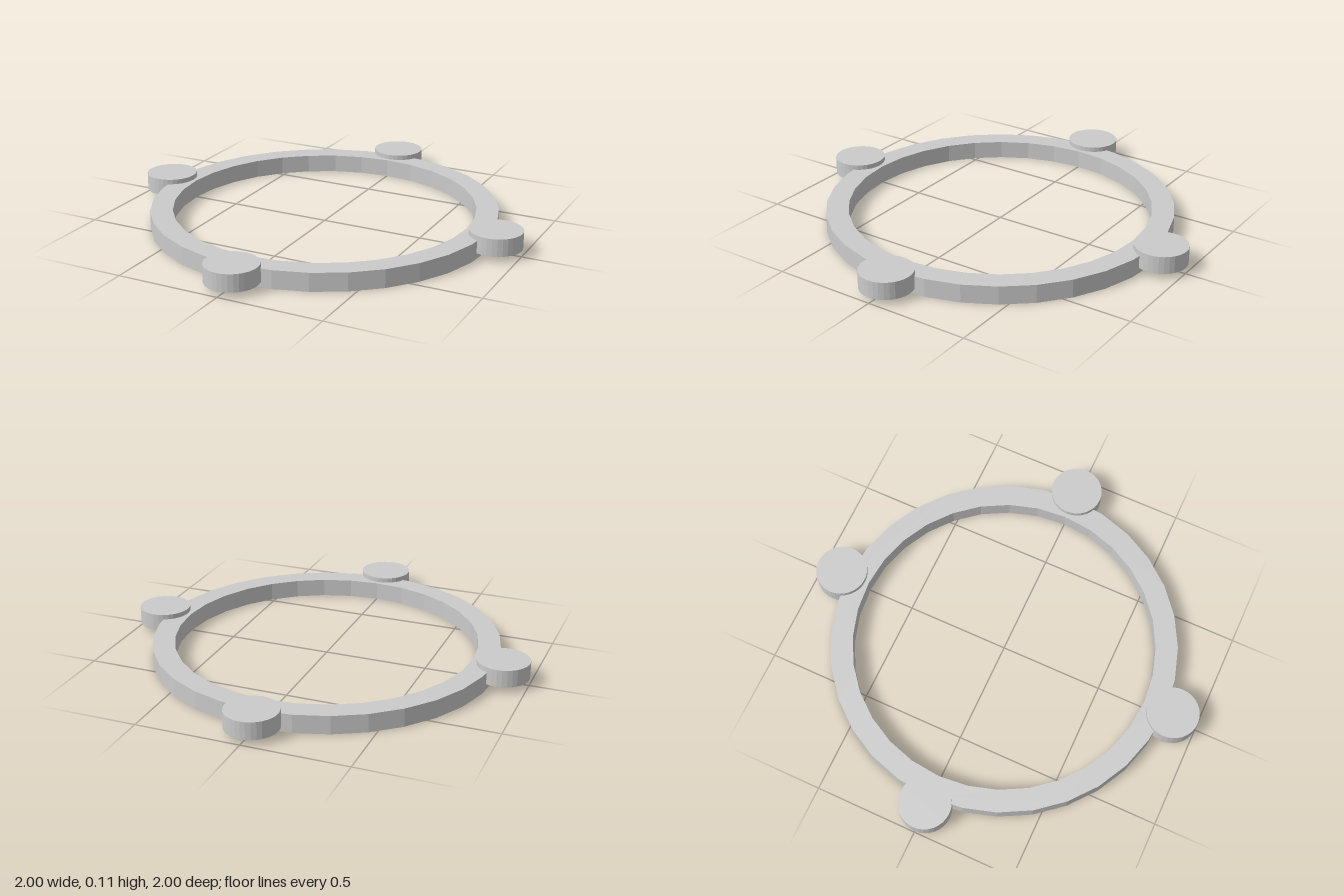
import * as THREE from 'three';

const RING = { outer: 0.837, inner: 0.73, height: 0.088, sides: 32 };
const LUG = { radius: 0.125, height: 0.084, base: 0.028, reach: 0.875, sides: 32 };

// Regular polygon outline with a corner on each axis
function polygon(radius, sides) {
  return Array.from({ length: sides }, (_, i) => {
    const a = (i / sides) * Math.PI * 2;
    return new THREE.Vector2(Math.cos(a) * radius, Math.sin(a) * radius);
  });
}

export function createModel() {
  const model = new THREE.Group();
  model.name = 'ringWithLugs';
  const material = new THREE.MeshStandardMaterial({ color: 0xcccccc, flatShading: true });

  // Flat faceted ring
  const shape = new THREE.Shape(polygon(RING.outer, RING.sides));
  shape.holes.push(new THREE.Path(polygon(RING.inner, RING.sides)));
  const ringGeometry = new THREE.ExtrudeGeometry(shape, { depth: RING.height, bevelEnabled: false });
  ringGeometry.rotateX(-Math.PI / 2);
  const ring = new THREE.Mesh(ringGeometry, material);
  ring.name = 'ring';
  model.add(ring);

  // Four round lugs, raised slightly above the ring
  const lugGeometry = new THREE.CylinderGeometry(LUG.radius, LUG.radius, LUG.height, LUG.sides);
  const names = ['leftLug', 'frontLug', 'rightLug', 'backLug'];
  names.forEach((name, i) => {
    const a = (i * Math.PI) / 2;
    const lug = new THREE.Mesh(lugGeometry, material);
    lug.name = name;
    lug.position.set(Math.cos(a) * LUG.reach, LUG.base + LUG.height / 2, Math.sin(a) * LUG.reach);
    model.add(lug);
  });

  return model;
}
